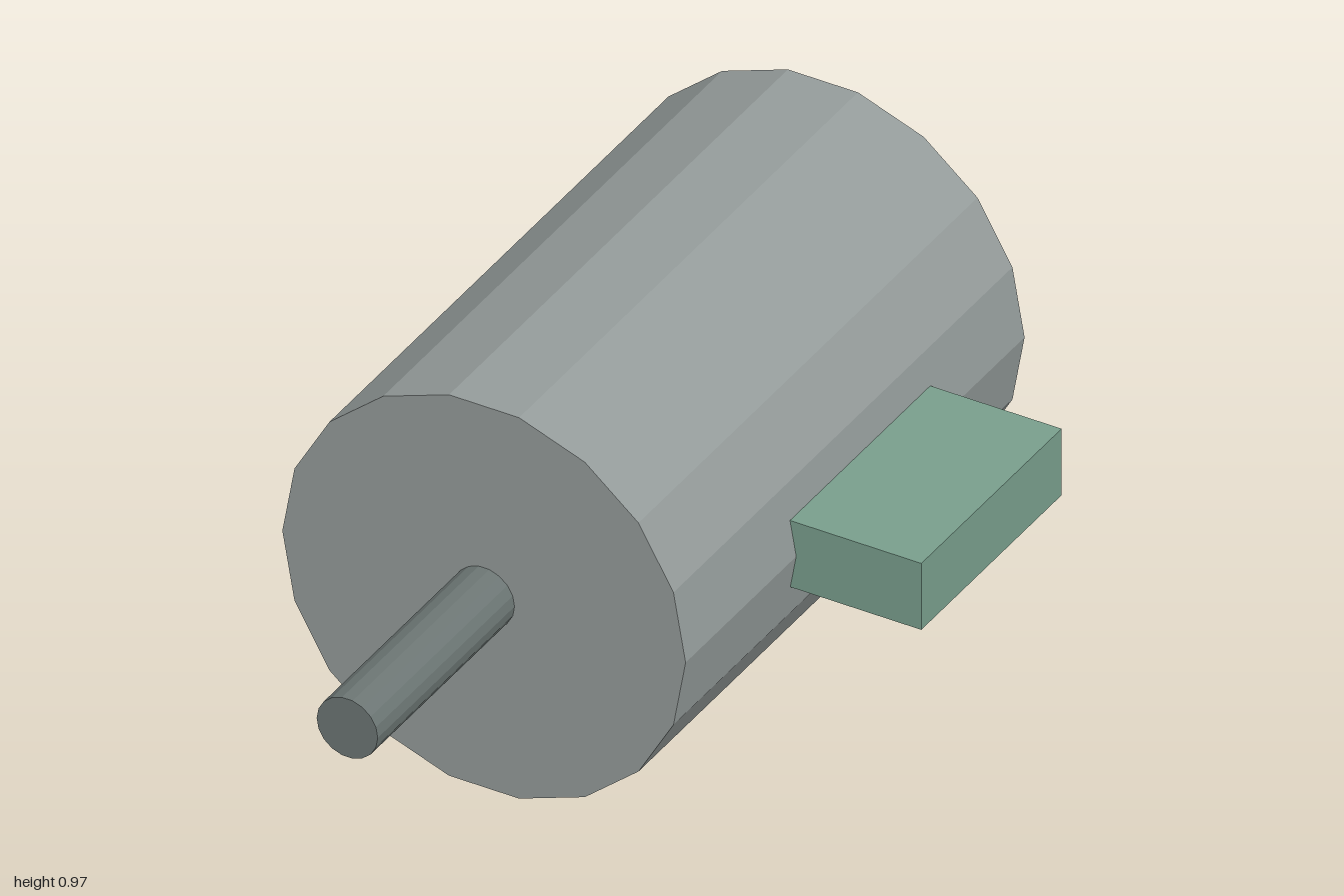
import * as THREE from 'three';

const AXIS_X = -0.155, AXIS_Y = 0.488;

function material(name, color) {
  const m = new THREE.MeshStandardMaterial({ color, flatShading: true });
  m.name = name;
  return m;
}

// Faceted cylinder along z, with a corner pointing to +x
function drum(name, radius, zBack, zFront, sides, mat) {
  const geo = new THREE.CylinderGeometry(radius, radius, zFront - zBack, sides, 1, false, Math.PI / 2);
  geo.rotateX(Math.PI / 2);
  const mesh = new THREE.Mesh(geo, mat);
  mesh.name = name;
  mesh.position.set(AXIS_X, AXIS_Y, (zBack + zFront) / 2);
  return mesh;
}

export function createModel() {
  const group = new THREE.Group();
  group.name = 'motor';

  // Motor housing and output shaft
  group.add(drum('housing', 0.495, -1, 0.425, 18, material('light grey', 0x959c9b)));
  group.add(drum('shaft', 0.075, 0.4, 1, 18, material('dark grey', 0x6c7674)));

  // Terminal box on the left side, sunk into the housing
  const box = new THREE.Mesh(new THREE.BoxGeometry(0.4, 0.17, 0.59), material('green', 0x799f8d));
  box.name = 'terminalBox';
  box.position.set(0.447, 0.49, -0.335);
  group.add(box);

  return group;
}
